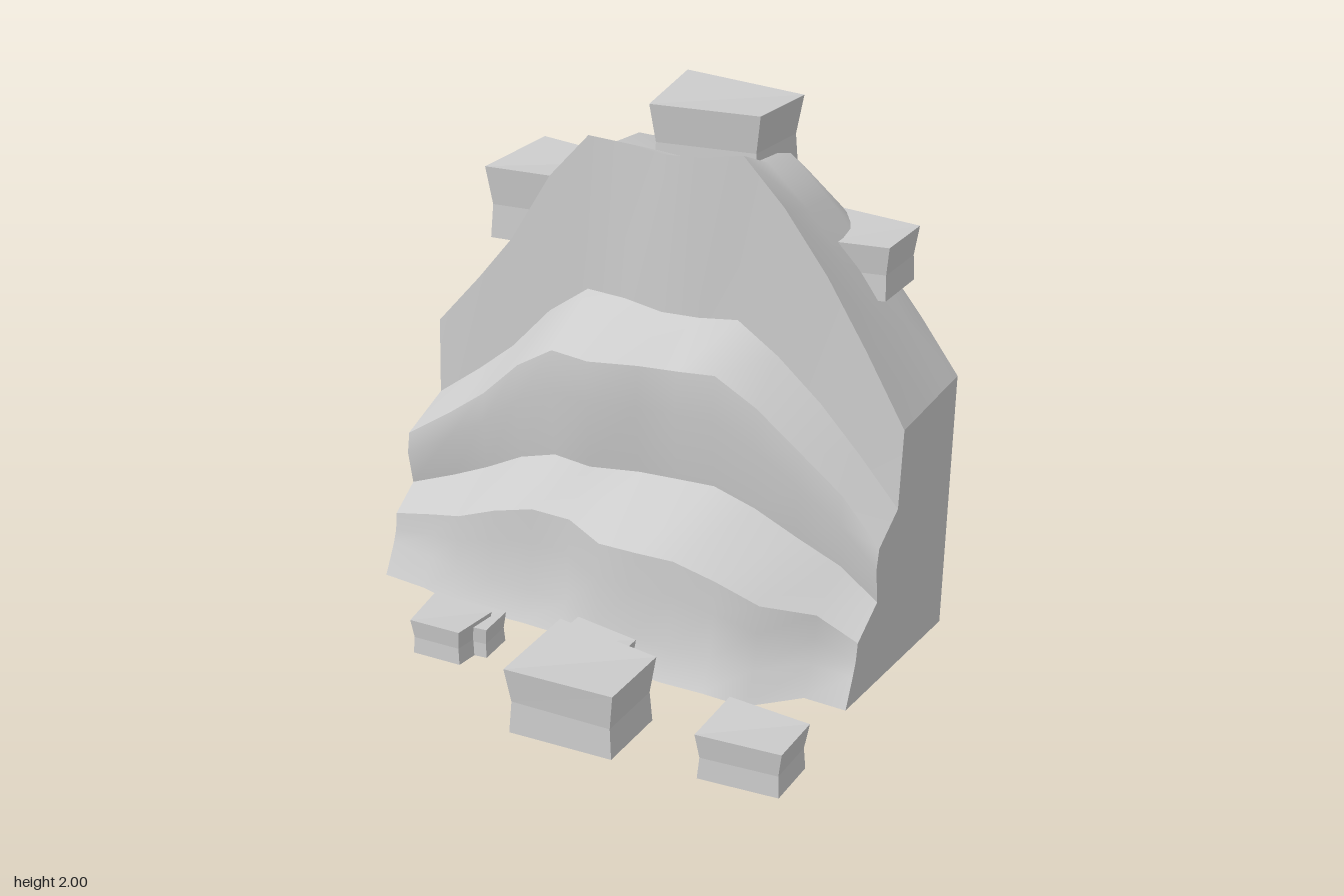
import * as THREE from 'three';

const rock = new THREE.MeshStandardMaterial({ color: 0xcccccc, side: THREE.DoubleSide });
rock.name = 'grey rock';

// Columns across the cliff: x, crest height, and depth of the main edges
const X = [-0.98, -0.8, -0.66, -0.5, -0.34, -0.18, 0, 0.15, 0.3, 0.46, 0.63, 0.79, 0.95];
const crest = [1.04, 1.25, 1.43, 1.70, 1.88, 1.88, 1.885, 1.90, 1.93, 1.77, 1.55, 1.31, 1.05];
const footZ = [0.23, 0.24, 0.27, 0.28, 0.27, 0.27, 0.33, 0.36, 0.37, 0.36, 0.36, 0.21, 0.21];
const lowZ = [0.14, 0.16, 0.19, 0.19, 0.18, 0.18, 0.28, 0.28, 0.28, 0.27, 0.26, 0.13, 0.13];
const midZ = [0.03, 0.01, -0.01, 0, 0.02, 0.04, -0.01, -0.02, -0.02, -0.03, -0.03, -0.05, -0.02];
const topZ = [-0.21, -0.22, -0.24, -0.25, -0.26, -0.25, -0.2, -0.2, -0.21, -0.21, -0.21, -0.2, -0.19];
const backZ = [-0.71, -0.715, -0.72, -0.73, -0.76, -0.76, -0.75, -0.73, -0.72, -0.71, -0.705, -0.7, -0.69];

// Profile of one column from the front foot, over the crest, to the back foot
function profile(i) {
  const h = crest[i], t = topZ[i], b = backZ[i];
  const bump = (h - 1.04) / 0.88;
  const lip = 0.1 + 0.25 * h;
  const over = (k, drop) => [t + (b - t) * k, h - drop * bump];
  return [
    [footZ[i], 0.13],
    [lowZ[i] + 0.03, 0.24],
    [lowZ[i] + 0.01, 0.13 + (lip - 0.13) * 0.7],
    [lowZ[i], lip],
    [midZ[i] - 0.01, 0.093 + 0.333 * h],
    [midZ[i] + 0.015, 0.07 + 0.49 * h],
    [midZ[i], 0.053 + 0.583 * h],
    [t + 0.015, 0.059 + 0.655 * h],
    [t, h],
    over(0.4, 0.09), over(0.75, 0.11), over(1, 0.2),
    [b, 0],
  ];
}
const columns = X.map((_, i) => profile(i));

// Smooth band between two profile rows, with sharp borders
function band(name, from, to) {
  const pos = [], idx = [], n = X.length;
  for (let r = from; r <= to; r++) {
    for (let i = 0; i < n; i++) pos.push(X[i], columns[i][r][1], columns[i][r][0]);
  }
  for (let r = 0; r < to - from; r++) {
    for (let i = 0; i < n - 1; i++) {
      const a = r * n + i, b = a + n;
      idx.push(a, a + 1, b + 1, a, b + 1, b);
    }
  }
  const g = new THREE.BufferGeometry();
  g.setAttribute('position', new THREE.Float32BufferAttribute(pos, 3));
  g.setIndex(idx);
  g.computeVertexNormals();
  return named(name, g);
}

function named(name, geometry) {
  const m = new THREE.Mesh(geometry, rock);
  m.name = name;
  return m;
}

// Flat side wall cut along the end profile; side is +1 or -1
function sideWall(name, i, side) {
  const shape = new THREE.Shape(columns[i].map(([z, y]) => new THREE.Vector2(-side * z, y)));
  const g = new THREE.ShapeGeometry(shape);
  g.rotateY(side * Math.PI / 2);
  g.translate(X[i], 0, 0);
  return named(name, g);
}

// Faceted block with a pinched waist; corners run back left, back right, front right, front left
function boulder(name, corners, y0, y1, tilt = 0) {
  const cx = corners.reduce((s, c) => s + c[0], 0) / 4;
  const cz = corners.reduce((s, c) => s + c[1], 0) / 4;
  const h = y1 - y0;
  const ring = (k, y, slope) => corners.map(([x, z], j) => [
    cx + (x - cx) * k, y + slope * (x - cx) - (j % 2 ? 0.06 * h : 0), cz + (z - cz) * k]);
  const rings = [ring(0.95, y0 + 0.06 * h, tilt), ring(0.91, y0 + 0.5 * h, 0), ring(1, y1, tilt)];
  const pos = [];
  const quad = (a, b, c, d) => pos.push(...a, ...b, ...c, ...a, ...c, ...d);
  for (let r = 0; r < 2; r++) {
    for (let j = 0; j < 4; j++) {
      const k = (j + 1) % 4;
      quad(rings[r][k], rings[r][j], rings[r + 1][j], rings[r + 1][k]);
    }
  }
  const [bottom, , top] = rings;
  quad(top[3], top[2], top[1], top[0]);
  quad(bottom[0], bottom[1], bottom[2], bottom[3]);
  const g = new THREE.BufferGeometry();
  g.setAttribute('position', new THREE.Float32BufferAttribute(pos, 3));
  g.computeVertexNormals();
  return named(name, g);
}

export function createModel() {
  const model = new THREE.Group();
  model.name = 'terraced cliff';

  // Cliff shell, open underneath
  const cliff = new THREE.Group();
  cliff.name = 'cliff';
  cliff.add(
    band('lowerFace', 0, 3),
    band('lowerLedge', 3, 4),
    band('middleFace', 4, 6),
    band('upperLedge', 6, 7),
    band('upperFace', 7, 8),
    band('cliffTop', 8, 11),
    band('backWall', 11, 12),
    sideWall('leftSide', X.length - 1, 1),
    sideWall('rightSide', 0, -1),
  );

  // Boulders fallen at the foot
  const fallen = new THREE.Group();
  fallen.name = 'fallenBoulders';
  fallen.add(
    boulder('largeBoulder', [[-0.05, 0.47], [0.36, 0.51], [0.36, 0.82], [-0.07, 0.82]], 0.07, 0.35, 0.02),
    boulder('innerBoulder', [[-0.07, 0.31], [0.18, 0.33], [0.18, 0.49], [-0.09, 0.51]], 0.08, 0.26),
    boulder('rightBoulder', [[-0.63, 0.4], [-0.38, 0.41], [-0.4, 0.6], [-0.61, 0.6]], 0.1, 0.25),
    boulder('rightSmallBoulder', [[-0.54, 0.38], [-0.35, 0.36], [-0.34, 0.51], [-0.5, 0.52]], 0.1, 0.23),
    boulder('leftBoulder', [[0.66, 0.54], [0.96, 0.54], [0.96, 0.76], [0.65, 0.78]], 0.1, 0.29),
  );

  // Boulders resting along the crest
  const crestRocks = new THREE.Group();
  crestRocks.name = 'crestBoulders';
  crestRocks.add(
    boulder('summitBoulder', [[-0.21, -0.77], [0.27, -0.76], [0.26, -0.42], [-0.17, -0.4]], 1.71, 2.0),
    boulder('rightCrestBoulder', [[-0.87, -0.83], [-0.41, -0.8], [-0.53, -0.47], [-0.92, -0.47]], 1.3, 1.61),
    boulder('leftCrestBoulder', [[0.43, -0.74], [0.75, -0.74], [0.75, -0.46], [0.52, -0.45]], 1.37, 1.59),
  );

  model.add(cliff, fallen, crestRocks);
  return model;
}
